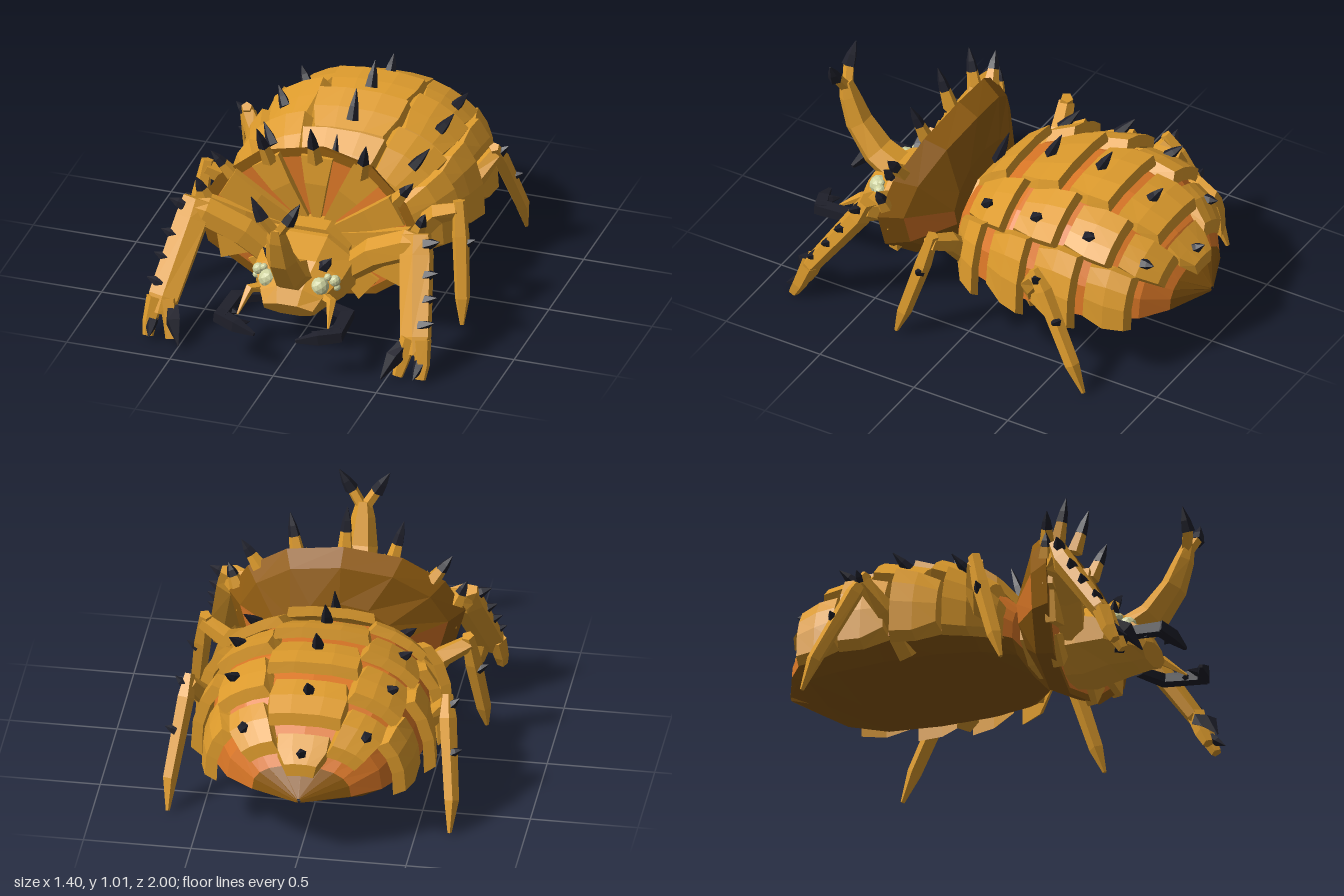
import * as THREE from 'three';

const material = (name, color) => {
  const m = new THREE.MeshStandardMaterial({ color, flatShading: true });
  m.name = name;
  return m;
};
const V = (x, y, z) => new THREE.Vector3(x, y, z);
const lerp = THREE.MathUtils.lerp;

// Abdomen stations: z, half width, top, bottom
const STATIONS = [
  [0.2, 0.01, 0.35, 0.27], [0.19, 0.28, 0.5, 0.21], [0.05, 0.43, 0.63, 0.2], [-0.15, 0.49, 0.69, 0.2],
  [-0.4, 0.5, 0.72, 0.2], [-0.65, 0.46, 0.66, 0.2], [-0.82, 0.36, 0.54, 0.22], [-0.91, 0.23, 0.42, 0.25],
  [-1, 0.01, 0.3, 0.28]];
const BASE = 0.28;

function station(z) {
  let i = 0;
  while (i < STATIONS.length - 2 && z < STATIONS[i + 1][0]) i++;
  const a = STATIONS[i], b = STATIONS[i + 1];
  const t = THREE.MathUtils.clamp((z - a[0]) / (b[0] - a[0]), 0, 1);
  return a.map((v, k) => lerp(v, b[k], t));
}

// Point over the abdomen's arch: angle 0 is the ridge, 90 the flank
function arch(z, degrees, offset = 0) {
  const [, w, top] = station(z);
  const a = THREE.MathUtils.degToRad(degrees), s = Math.sin(a), c = Math.cos(a);
  const pow = (v) => Math.sign(v) * Math.abs(v) ** 0.8;
  return V(w * pow(s) + s * offset, BASE + (top - BASE) * pow(c) + c * offset, z);
}

export function createModel() {
  const model = new THREE.Group();
  const amber = material('amber shell', 0xdc9a2c);
  const brown = material('brown underside', 0x905c10);
  const orange = material('orange skin', 0xdc7827);
  const black = material('black horn', 0x1f202b);
  const pale = material('pale eye', 0xcfd3a0);

  const add = (name, geometry, mat) => {
    const mesh = new THREE.Mesh(geometry, mat);
    mesh.name = name;
    model.add(mesh);
    return mesh;
  };

  // Mesh from a list of four-cornered faces
  function faces(name, mat, quads) {
    const pos = [];
    for (const [a, b, c, d] of quads) for (const p of [a, b, c, a, c, d]) pos.push(p.x, p.y, p.z);
    const g = new THREE.BufferGeometry();
    g.setAttribute('position', new THREE.Float32BufferAttribute(pos, 3));
    g.computeVertexNormals();
    return add(name, g, mat);
  }

  // Faceted limb through [x, y, z, radiusA, radiusB] points, closed at both ends
  function sweep(name, mat, path, sides = 5, ref) {
    const pts = path.map((p) => V(p[0], p[1], p[2]));
    const last = pts.length - 1;
    const whole = pts[last].clone().sub(pts[0]).normalize();
    const up = ref || (Math.abs(whole.y) > 0.8 ? V(0, 0, 1) : V(0, 1, 0));
    const rings = pts.map((p, i) => {
      const t = pts[Math.min(i + 1, last)].clone().sub(pts[Math.max(i - 1, 0)]).normalize();
      const s = up.clone().cross(t).normalize(), n = t.clone().cross(s);
      const [, , , ra, rb = ra] = path[i];
      return Array.from({ length: sides }, (_, j) => {
        const a = (j + 0.5) / sides * Math.PI * 2;
        return p.clone().addScaledVector(s, ra * Math.cos(a)).addScaledVector(n, rb * Math.sin(a));
      });
    });
    const quads = [];
    for (let j = 0; j < sides; j++) {
      const k = (j + 1) % sides;
      for (let i = 0; i < last; i++) quads.push([rings[i][j], rings[i][k], rings[i + 1][k], rings[i + 1][j]]);
      quads.push([pts[0], rings[0][k], rings[0][j], pts[0]], [pts[last], rings[last][j], rings[last][k], pts[last]]);
    }
    return faces(name, mat, quads);
  }
  const spike = (name, a, b, r = 0.026) =>
    sweep(name, black, [[...a, r], [...a.map((v, i) => lerp(v, b[i], 0.45)), r * 0.72], [...b, 0.002]]);

  // Abdomen skin, tail tip and belly
  const skin = [], under = [];
  for (let i = 0; i < STATIONS.length - 1; i++) {
    const z0 = STATIONS[i][0], z1 = STATIONS[i + 1][0];
    for (let a = -90; a < 90; a += 18) {
      (z1 === -1 ? under : skin).push([arch(z0, a), arch(z0, a + 18), arch(z1, a + 18), arch(z1, a)]);
    }
    const row = (z) => {
      const [, w, , b] = station(z);
      return [V(w, BASE, z), V(w * 0.75, b + 0.015, z), V(0, b, z), V(-w * 0.75, b + 0.015, z), V(-w, BASE, z)];
    };
    const u0 = row(z0), u1 = row(z1);
    for (let k = 0; k < 4; k++) under.push([u0[k], u0[k + 1], u1[k + 1], u1[k]]);
  }
  faces('abdomenSkin', orange, skin);
  faces('bellyAndTail', brown, under);

  // Overlapping bevelled armour plates, each trailing edge lifted
  function plate(z0, z1, a0, a1, lift = 0.05) {
    const g = new THREE.BoxGeometry(1, 1, 1, 3, 1, 2);
    const p = g.attributes.position;
    for (let i = 0; i < p.count; i++) {
      const u = p.getX(i) + 0.5, v = 0.5 - p.getZ(i), h = p.getY(i) + 0.5;
      const inset = (v < 0.25 ? 0.07 : 0) + h * 0.07;
      const along = lerp(h * 0.08, 1 - h * 0.05, v);
      const q = arch(lerp(z0, z1, along), lerp(a0, a1, lerp(inset, 1 - inset, u)),
        lerp(0, lift, v) + h * 0.05 - 0.01);
      p.setXYZ(i, q.x, q.y, q.z);
    }
    g.computeVertexNormals();
    add('shellPlate', g, amber);
  }
  const thorn = (z, a, h) =>
    spike('shellSpike', arch(z + 0.03, a, 0.045).toArray(), arch(z - 0.03, a, h).toArray(), 0.03);
  [[0.185, -0.03, 0.11], [-0.07, -0.32, -0.17], [-0.335, -0.58, -0.44], [-0.595, -0.82, -0.71], [-0.83, -0.96, -0.93]]
    .forEach(([a, b, s]) => { plate(a, b, -20, 20, 0.055); thorn(s, 0, 0.17); });
  for (const m of [-1, 1]) {
    const pair = (z0, z1, a0, a1, lift) => plate(z0, z1, m > 0 ? a0 : -a1, m > 0 ? a1 : -a0, lift);
    [[0.12, -0.15, -0.03], [-0.17, -0.43, -0.31], [-0.44, -0.69, -0.58], [-0.7, -0.89, -0.83]]
      .forEach(([a, b, s]) => { pair(a, b, 17, 54, 0.04); thorn(s, m * 39, 0.13); });
    [[0.16, -0.06, 0.07], [-0.08, -0.31, 0.055], [-0.33, -0.57, 0.055], [-0.59, -0.81, 0.055]]
      .forEach(([a, b, l]) => pair(a, b, 50, 94, l));
  }

  // Neck and head
  sweep('neck', amber, [[0, 0.38, 0.1, 0.2, 0.15], [0, 0.34, 0.45, 0.2, 0.16]], 8);
  sweep('head', amber, [[0, 0.31, 0.34, 0.2, 0.17], [0, 0.3, 0.48, 0.24, 0.18], [0, 0.29, 0.62, 0.23, 0.14],
    [0, 0.25, 0.73, 0.16, 0.09], [0, 0.22, 0.78, 0.13, 0.045]], 8);

  // Frill: shallow bowl opening forward, with brown shell, orange skin and amber ribs
  const half = [[0, 0.85], [0.27, 0.8], [0.46, 0.66], [0.55, 0.5], [0.5, 0.32], [0.3, 0.16], [0, 0.09]];
  const rim = [...half, ...half.slice(1, 6).reverse().map(([x, y]) => [-x, y])];
  const rimZ = (y) => 0.46 - 0.7 * (y - 0.45) ** 2;
  const at = (i, s, z) => V(rim[i % 12][0] * s, lerp(0.4, rim[i % 12][1], s), z(rimZ(rim[i % 12][1]), s));
  const front = (r, s) => lerp(0.36, r, s);
  const back = [[1, (r) => r], [0.88, (r) => r - 0.1], [0.5, () => 0.21], [0, () => 0.19]];
  const shell = [], bowl = [], patch = [];
  for (let i = 0; i < 12; i++) {
    const ring = (list, s, t) => list.push([at(i, s, front), at(i, t, front), at(i + 1, t, front), at(i + 1, s, front)]);
    ring(shell, 1, 0.9);
    ring(bowl, 0.9, 0);
    for (let k = 0; k < 3; k++) {
      const [s, f] = back[k], [t, g] = back[k + 1];
      (k === 1 && (i === 3 || i === 8) ? patch : shell).push([at(i, s, f), at(i + 1, s, f), at(i + 1, t, g), at(i, t, g)]);
    }
  }
  faces('frillShell', brown, shell);
  faces('frillSkin', orange, bowl);
  faces('frillSidePatch', orange, patch);
  for (const i of [0, 1, 2, 3, 4, 5, 7, 8, 9, 10, 11]) {
    const a = at(i, 0.2, front), b = at(i, 0.6, front), c = at(i, 0.9, front);
    sweep('frillRib', amber, [[a.x, a.y, a.z, 0.03, 0.03], [b.x, b.y, b.z, 0.075, 0.05], [c.x, c.y, c.z, 0.108, 0.035]], 4, V(0, 0, 1));
  }

  // Spikes along the frill's rim
  function rimSpike(a, b) {
    const mid = a.map((v, k) => lerp(v, b[k], 0.45));
    sweep('rimSpikeBase', amber, [[...a, 0.038], [...mid, 0.027]]);
    spike('rimSpike', mid, b, 0.029);
  }
  rimSpike([0, 0.8, 0.39], [0, 1, 0.46]);

  // Horn with a forked tip
  sweep('horn', amber, [[0, 0.33, 0.64, 0.09, 0.09], [0, 0.41, 0.78, 0.075, 0.085], [0, 0.54, 0.88, 0.06, 0.075],
    [0, 0.67, 0.93, 0.045, 0.055], [0, 0.74, 0.95, 0.03, 0.035]], 6, V(1, 0, 0));

  for (const m of [-1, 1]) {
    const flip = (p) => [m * p[0], ...p.slice(1)];
    const limb = (name, mat, path, sides) => sweep(name, mat, path.map(flip), sides);
    const thornAt = (name, a, b, r) => spike(name, flip(a), flip(b), r);

    limb('hornProng', amber, [[0, 0.7, 0.94, 0.028], [0.065, 0.8, 0.97, 0.026]]);
    thornAt('hornTip', [0.06, 0.785, 0.97], [0.118, 0.89, 0.965], 0.034);
    [[[0.22, 0.76, 0.39], [0.265, 0.95, 0.45]], [[0.4, 0.67, 0.41], [0.49, 0.79, 0.44]], [[0.51, 0.54, 0.44], [0.555, 0.65, 0.46]]]
      .forEach(([a, b]) => rimSpike(flip(a), flip(b)));

    // Eyes, brow spikes and feelers
    for (const [x, y, z, r] of [[0.125, 0.322, 0.7, 0.045], [0.185, 0.342, 0.66, 0.028], [0.155, 0.36, 0.67, 0.018], [0.195, 0.31, 0.66, 0.018]]) {
      add('eye', new THREE.IcosahedronGeometry(r, 1), pale).position.set(m * x, y, z);
    }
    thornAt('browSpike', [0.115, 0.38, 0.63], [0.165, 0.45, 0.65], 0.035);
    limb('feeler', amber, [[0.12, 0.27, 0.68, 0.03], [0.2, 0.28, 0.75, 0.024], [0.22, 0.2, 0.86, 0.005]]);

    // Mandible with inner teeth
    limb('mandible', black, [[0.13, 0.21, 0.66, 0.03, 0.025], [0.27, 0.215, 0.73, 0.045, 0.03], [0.28, 0.205, 0.93, 0.04, 0.035]], 4);
    limb('mandibleTip', black, [[0.3, 0.21, 0.91, 0.04, 0.035], [0.2, 0.195, 0.95, 0.035, 0.037], [0.1, 0.175, 0.975, 0.01]], 4);
    thornAt('mandibleTooth', [0.21, 0.195, 0.94], [0.15, 0.19, 0.89], 0.028);
    thornAt('mandibleInnerTooth', [0.27, 0.205, 0.84], [0.22, 0.2, 0.85], 0.025);

    // Front leg
    limb('frontUpperLeg', amber, [[0.16, 0.28, 0.45, 0.06], [0.32, 0.42, 0.48, 0.075], [0.5, 0.51, 0.51, 0.075], [0.56, 0.53, 0.53, 0.045]], 6);
    limb('frontLowerLeg', amber, [[0.53, 0.57, 0.51, 0.075, 0.04], [0.545, 0.48, 0.55, 0.085, 0.055], [0.61, 0.17, 0.76, 0.08, 0.042], [0.62, 0.1, 0.8, 0.045, 0.03]], 6);
    limb('frontOuterToe', amber, [[0.645, 0.17, 0.77, 0.045], [0.66, 0.06, 0.81, 0.036], [0.66, 0, 0.84, 0.026]]);
    limb('frontInnerToe', amber, [[0.585, 0.17, 0.77, 0.045], [0.56, 0.06, 0.81, 0.036], [0.55, 0, 0.84, 0.026]]);
    limb('frontClaw', black, [[0.56, 0.13, 0.78, 0.035], [0.535, 0.1, 0.85, 0.04], [0.49, 0.01, 0.91, 0.003]], 4);
    thornAt('outerClaw', [0.65, 0.07, 0.81], [0.64, 0.02, 0.89], 0.032);
    [[0.585, 0.55, 0.54], [0.6, 0.425, 0.61], [0.615, 0.33, 0.67], [0.625, 0.235, 0.74]].forEach(([x, y, z]) =>
      thornAt('frontLegSpike', [x, y - 0.01, z], [x + 0.07, y + 0.02, z + 0.01], 0.032));

    // Middle and hind legs
    limb('middleUpperLeg', amber, [[0.36, 0.3, 0.06, 0.06], [0.5, 0.46, 0.1, 0.05], [0.62, 0.52, 0.14, 0.04]]);
    limb('middleLowerLeg', amber, [[0.61, 0.56, 0.13, 0.03], [0.63, 0.4, 0.17, 0.042], [0.665, 0.12, 0.25, 0.036], [0.675, 0, 0.285, 0.01]]);
    thornAt('middleLegSpike', [0.65, 0.36, 0.17], [0.7, 0.39, 0.17], 0.025);
    limb('hindUpperLeg', amber, [[0.38, 0.22, -0.28, 0.055], [0.52, 0.4, -0.34, 0.05], [0.6, 0.52, -0.42, 0.04]]);
    limb('hindLowerLeg', amber, [[0.6, 0.56, -0.4, 0.025], [0.61, 0.47, -0.46, 0.042], [0.655, 0.14, -0.64, 0.036], [0.655, 0, -0.7, 0.01]]);
    thornAt('hindKneeSpike', [0.62, 0.52, -0.43], [0.66, 0.56, -0.43], 0.025);
    thornAt('hindLegSpike', [0.64, 0.34, -0.55], [0.69, 0.36, -0.55], 0.025);
  }
  return model;
}
